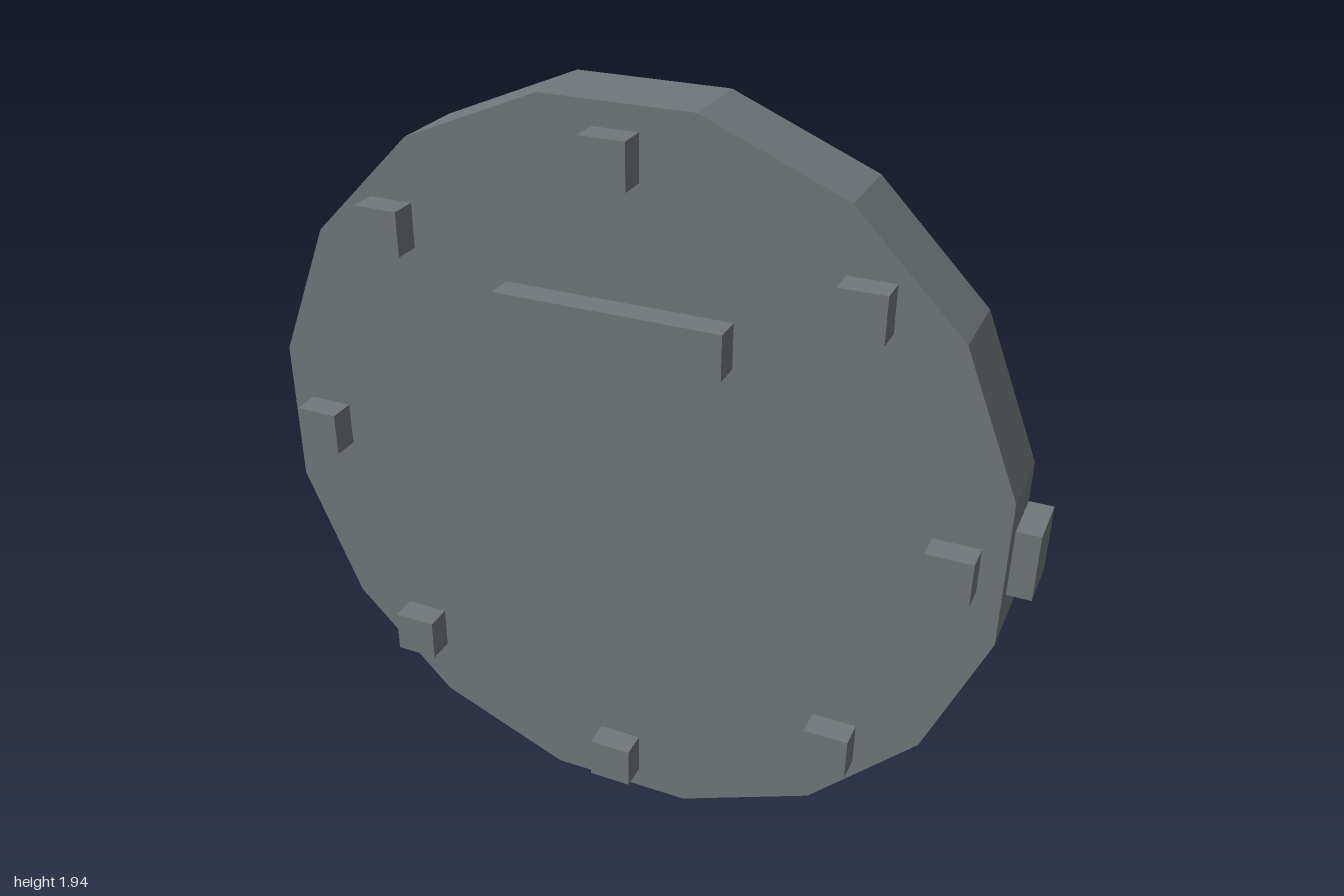
import * as THREE from 'three';

export function createModel() {
  const model = new THREE.Group();
  const grey = new THREE.MeshStandardMaterial({ color: 0x70777a, side: THREE.DoubleSide });
  grey.name = 'slate grey';

  const SIDES = 16, CX = -0.03, CY = 0.97;
  const RADIUS = 0.97 / Math.cos(Math.PI / SIDES);
  const BACK = -0.138, FACE = 0.067, FRONT = 0.138;

  const add = (name, geometry, x, y, z) => {
    const mesh = new THREE.Mesh(geometry, grey);
    mesh.name = name;
    mesh.position.set(x, y, z);
    model.add(mesh);
    return mesh;
  };

  // Thin rim, open at the back
  const rim = new THREE.CylinderGeometry(RADIUS, RADIUS, FACE - BACK, SIDES, 1, true);
  rim.rotateX(Math.PI / 2);
  rim.rotateZ(Math.PI / SIDES);
  const flatRim = rim.toNonIndexed();
  flatRim.computeVertexNormals();
  add('rim', flatRim, CX, CY, (FACE + BACK) / 2);

  // Front plate closing the rim
  add('frontPlate', new THREE.CircleGeometry(RADIUS, SIDES, Math.PI / SIDES), CX, CY, FACE);

  // Ring of eight square studs
  const depth = FRONT - FACE, frontZ = (FRONT + FACE) / 2;
  const studGeometry = new THREE.BoxGeometry(0.115, 0.115, depth);
  for (let i = 0; i < 8; i++) {
    const a = (i * Math.PI) / 4;
    add('stud' + (i + 1), studGeometry, CX + 0.853 * Math.cos(a), CY + 0.853 * Math.sin(a), frontZ);
  }

  // Raised bar below the top stud
  add('bar', new THREE.BoxGeometry(0.586, 0.117, depth), CX, 1.413, frontZ);

  // Latch block passing through the rim on the left side
  add('latch', new THREE.BoxGeometry(0.445, 0.175, 0.146), 0.7775, CY, -0.065);

  return model;
}
